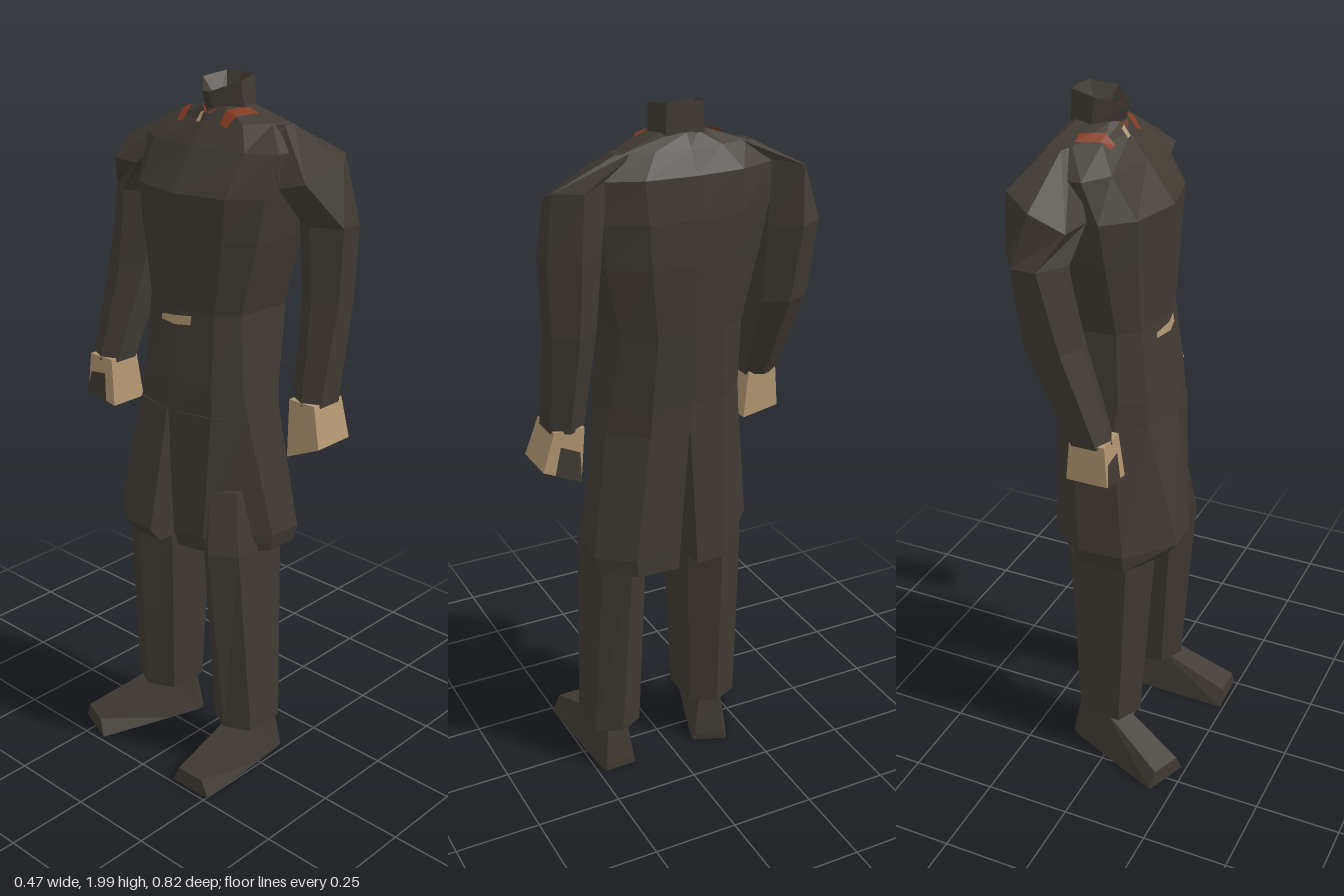
import * as THREE from 'three';

const paint = (name, color) => {
  const m = new THREE.MeshStandardMaterial({ color, flatShading: true, side: THREE.DoubleSide });
  m.name = name;
  return m;
};

// Skin of quads through equal-length rings, with optional end caps
function loft(rings, capped = true) {
  const pos = [];
  const tri = (a, b, c) => pos.push(...a, ...b, ...c);
  const n = rings[0].length;
  for (let r = 0; r < rings.length - 1; r++) {
    for (let i = 0; i < n; i++) {
      const j = (i + 1) % n, lo = rings[r], hi = rings[r + 1];
      tri(lo[i], hi[i], lo[j]);
      tri(lo[j], hi[i], hi[j]);
    }
  }
  if (capped) {
    const first = rings[0], last = rings[rings.length - 1];
    const mid = ring => [0, 1, 2].map(k => ring.reduce((s, p) => s + p[k], 0) / n);
    for (let i = 0; i < n; i++) {
      const j = (i + 1) % n;
      tri(mid(first), first[i], first[j]);
      tri(mid(last), last[j], last[i]);
    }
  }
  return toGeometry(pos);
}

function toGeometry(pos) {
  const g = new THREE.BufferGeometry();
  g.setAttribute('position', new THREE.Float32BufferAttribute(pos, 3));
  g.computeVertexNormals();
  return g;
}

// Point inside the quad a-b (u) to d-c (v)
const inQuad = (a, b, c, d, u, v) => [0, 1, 2].map(k =>
  (a[k] * (1 - u) + b[k] * u) * (1 - v) + (d[k] * (1 - u) + c[k] * u) * v);

// Six-sided ring given by its x and z limits; k sets how long the flat sides are
const limb = ([y, x0, x1, z0, z1, k = 0.62]) =>
  [[1, 0], [k, 1], [-k, 1], [-1, 0], [-k, -1], [k, -1]].map(([a, b]) =>
    [(x0 + x1) / 2 + a * (x1 - x0) / 2, y, (z0 + z1) / 2 + b * (z1 - z0) / 2]);

export function createModel() {
  const group = new THREE.Group();
  const coat = paint('dark cloth', 0x403a33);
  const skin = paint('skin', 0xb09470);
  const red = paint('red trim', 0x843a22);

  const add = (name, geometry, material) => {
    const m = new THREE.Mesh(geometry, material);
    m.name = name;
    group.add(m);
    return m;
  };

  // Upper coat: [y, front x, back x, half width, side front x, side back x]
  const torso = add('coatBody', loft([
    [1.12, -0.13, 0.2, 0.205, -0.02, 0.1],
    [1.2, -0.12, 0.2, 0.195, -0.03, 0.11],
    [1.4, -0.09, 0.215, 0.178, -0.02, 0.15],
    [1.6, -0.1, 0.232, 0.222, -0.01, 0.16],
    [1.72, -0.11, 0.235, 0.24, 0.0, 0.17],
    [1.83, -0.03, 0.225, 0.25, 0.04, 0.17],
    [1.89, 0.015, 0.19, 0.17, 0.1, 0.16],
    [1.925, 0.035, 0.165, 0.065, 0.09, 0.14],
  ].map(([y, f, b, w, sf, sb]) => {
    const half = [[b - 0.01, w * 0.55], [sb, w], [sf, w * 0.95], [f + (sf - f) * 0.32, w * 0.65]];
    return [
      [b, y, 0], ...half.map(([x, z]) => [x, y, z]),
      [f, y, 0], ...half.reverse().map(([x, z]) => [x, y, -z]),
    ];
  })), coat);

  // Coat tails, split front and back; each row is y and an [x, z] outline
  const tail = (name, s, rows) => add(name, loft(rows.map(([y, outline]) => {
    const pts = outline.map(([x, z]) => [x, y, z * s]);
    return s > 0 ? pts : pts.reverse();
  })), coat);
  const hip = [[0.2, 0.002], [0.19, 0.115], [0.1, 0.205], [-0.02, 0.195], [-0.1, 0.133], [-0.13, 0.002]];
  tail('leftCoatTail', 1, [
    [0.71, [[0.205, 0.032], [0.2, 0.155], [0.13, 0.245], [0.03, 0.243], [-0.1, 0.12], [-0.12, 0.032]]],
    [0.76, [[0.205, 0.03], [0.2, 0.16], [0.13, 0.258], [0.03, 0.252], [-0.115, 0.12], [-0.14, 0.03]]],
    [1.12, hip],
  ]);
  tail('rightCoatTail', -1, [
    [0.71, [[0.205, 0.025], [0.2, 0.118], [0.06, 0.24], [-0.07, 0.24], [-0.14, 0.12], [-0.14, 0.025]]],
    [0.76, [[0.205, 0.024], [0.2, 0.118], [0.06, 0.258], [-0.07, 0.25], [-0.18, 0.12], [-0.18, 0.024]]],
    [1.12, hip],
  ]);

  // Sleeves: forearm to upper arm as limb rings, then a sloped shoulder running into the collar
  const mirrorRing = pts => pts.map((_, i) => {
    const [x, y, z] = pts[(6 - i) % 6];
    return [x, y, -z];
  });
  const leftShoulder = [
    [0.225, 1.82, 0.305], [0.15, 1.81, 0.36], [0.03, 1.77, 0.335],
    [0.015, 1.75, 0.26], [0.06, 1.81, 0.2], [0.17, 1.835, 0.22],
  ];
  const rightShoulder = mirrorRing([
    [0.2, 1.815, 0.325], [0.11, 1.79, 0.385], [0.025, 1.74, 0.355],
    [0.015, 1.74, 0.26], [0.06, 1.81, 0.2], [0.175, 1.835, 0.24],
  ]);
  add('leftSleeve', loft([
    ...[[1.17, 0.04, 0.165, 0.285, 0.38],
      [1.45, 0.08, 0.222, 0.262, 0.385, 0.45],
      [1.65, 0.07, 0.235, 0.245, 0.392, 0.4]].map(limb),
    leftShoulder,
    limb([1.888, 0.105, 0.165, 0.13, 0.19]),
  ]), coat);
  add('rightSleeve', loft([
    ...[[1.17, -0.08, 0.035, -0.375, -0.275],
      [1.43, 0.0, 0.16, -0.393, -0.255],
      [1.65, 0.03, 0.205, -0.408, -0.25, 0.4]].map(limb),
    rightShoulder,
    limb([1.888, 0.105, 0.165, -0.19, -0.13]),
  ]), coat);

  // Hands: box-like, with a dark patch on one face
  const box = (y, cx, cz, rx, rz) =>
    [[1, 1], [-1, 1], [-1, -1], [1, -1]].map(([a, b]) => [cx + a * rx, y, cz + b * rz]);
  const hand = (name, top, bottom, yIn, yOut, patchSide) => {
    bottom.forEach(p => { p[1] = Math.abs(p[2]) > 0.33 ? yOut : yIn; });
    add(name, loft([bottom, top]), skin);
    const [i, j] = patchSide > 0 ? [0, 3] : [1, 2];
    const at = (u, v) => {
      const p = inQuad(bottom[i], bottom[j], top[j], top[i], u, v);
      p[0] += patchSide * 0.003;
      return p;
    };
    const a = at(0.3, 0), b = at(1, 0), c = at(0.9, 0.55), d = at(0.3, 0.65);
    add(name + 'Patch', toGeometry([a, b, c, a, c, d].flat()), coat);
  };
  hand('leftHand', box(1.18, 0.1, 0.333, 0.058, 0.043), box(0, 0.09, 0.355, 0.065, 0.054), 1.02, 1.07, 1);
  hand('rightHand', box(1.18, -0.027, -0.325, 0.05, 0.044), box(0, -0.027, -0.318, 0.059, 0.055), 1.045, 1.065, -1);

  // Trouser legs
  add('leftLeg', loft([
    [0.14, -0.08, 0.12, 0.1, 0.245],
    [0.72, -0.13, 0.155, 0.085, 0.22],
    [0.9, -0.1, 0.15, 0.07, 0.19],
  ].map(limb)), coat);
  add('rightLeg', loft([
    [0.15, -0.08, 0.12, -0.222, -0.07],
    [0.72, -0.12, 0.155, -0.22, -0.05],
    [0.9, -0.1, 0.15, -0.19, -0.05],
  ].map(limb)), coat);

  // Shoes: [x, top y, half width at top, half width at sole]
  const shoe = (name, x, z, turn, toe) => {
    const m = add(name, loft([
      [0.07, 0.03, 0.045, 0.05],
      [0.05, 0.15, 0.032, 0.055],
      [-0.05, 0.15, 0.032, 0.06],
      [toe, 0.06, 0.045, 0.068],
    ].map(([px, h, t, b]) => [[px, h, t], [px, 0.008, b], [px, 0.008, -b], [px, h, -t]])), coat);
    m.position.set(x, 0, z);
    m.rotation.y = turn;
  };
  shoe('leftShoe', 0.045, 0.18, 0.02, -0.283);
  shoe('rightShoe', 0.05, -0.15, -0.37, -0.28);

  // Raised open collar with a sunken lining
  const collarHalf = [[0.155, 0.05, 2.0], [0.08, 0.066, 1.99], [0.02, 0.012, 1.965]];
  const rim = [
    [0.162, 2.0, 0], ...collarHalf.map(([x, z, y]) => [x, y, z]),
    ...[...collarHalf].reverse().map(([x, z, y]) => [x, y, -z]),
  ];
  const base = rim.map(([x, y, z]) => [x * 0.84 + 0.027, y > 1.97 ? 1.91 : 1.89, z * 1.1]);
  const pit = rim.map(([x, , z]) => [0.1 + (x - 0.1) * 0.4, 1.93, z * 0.4]);
  add('collar', loft([base, rim, pit], false), coat);

  // Red lining flaps low inside the collar front
  for (const [name, i, j] of [['leftCollarLining', 3, 2], ['rightCollarLining', 4, 5]]) {
    const [a, b, c, d] = [[0.03, 0.35], [0.4, 0.45], [0.5, 0.9], [0.03, 0.9]].map(([u, v]) => {
      const [x, y, z] = inQuad(rim[i], rim[j], pit[j], pit[i], u, v);
      return [x, y + 0.004, z];
    });
    add(name, toGeometry([a, b, c, a, c, d].flat()), red);
  }

  // Thin strips laid on the coat: path points are [u, v0, v1]
  const caster = new THREE.Raycaster();
  const drape = (name, material, origin, dir, path) => {
    const hit = (u, v) => {
      caster.set(origin(u, v), dir);
      return caster.intersectObject(torso)[0].point.addScaledVector(dir, -0.006).toArray();
    };
    const pos = [];
    for (let i = 0; i < path.length - 1; i++) {
      const [u, a, b] = path[i], [w, c, d] = path[i + 1];
      const p = hit(u, a), q = hit(u, b), r = hit(w, c), s = hit(w, d);
      pos.push(...p, ...q, ...r, ...q, ...s, ...r);
    }
    add(name, toGeometry(pos), material);
  };
  const down = new THREE.Vector3(0, -1, 0), back = new THREE.Vector3(1, 0, 0);
  const above = (x, z) => new THREE.Vector3(x, 3, z);
  const before = (z, y) => new THREE.Vector3(-2, y, z);

  drape('leftLapelTrim', red, above, down,
    [[0.02, 0.05, 0.075], [0.045, 0.05, 0.085], [0.07, 0.066, 0.1], [0.1, 0.085, 0.115]]);
  drape('rightLapelTrim', red, above, down,
    [[0.02, -0.105, -0.08], [0.045, -0.115, -0.083], [0.07, -0.133, -0.1], [0.1, -0.15, -0.118]]);
  drape('necktie', red, above, down, [[0.025, -0.008, 0.008], [0.04, -0.03, 0.025]]);
  drape('shirtFront', skin, above, down, [[0.01, -0.026, -0.012], [0.028, -0.026, -0.012]]);
  drape('waistPatch', skin, before, back, [[-0.06, 1.36, 1.375], [0, 1.36, 1.385], [0.05, 1.365, 1.39]]);

  return group;
}
